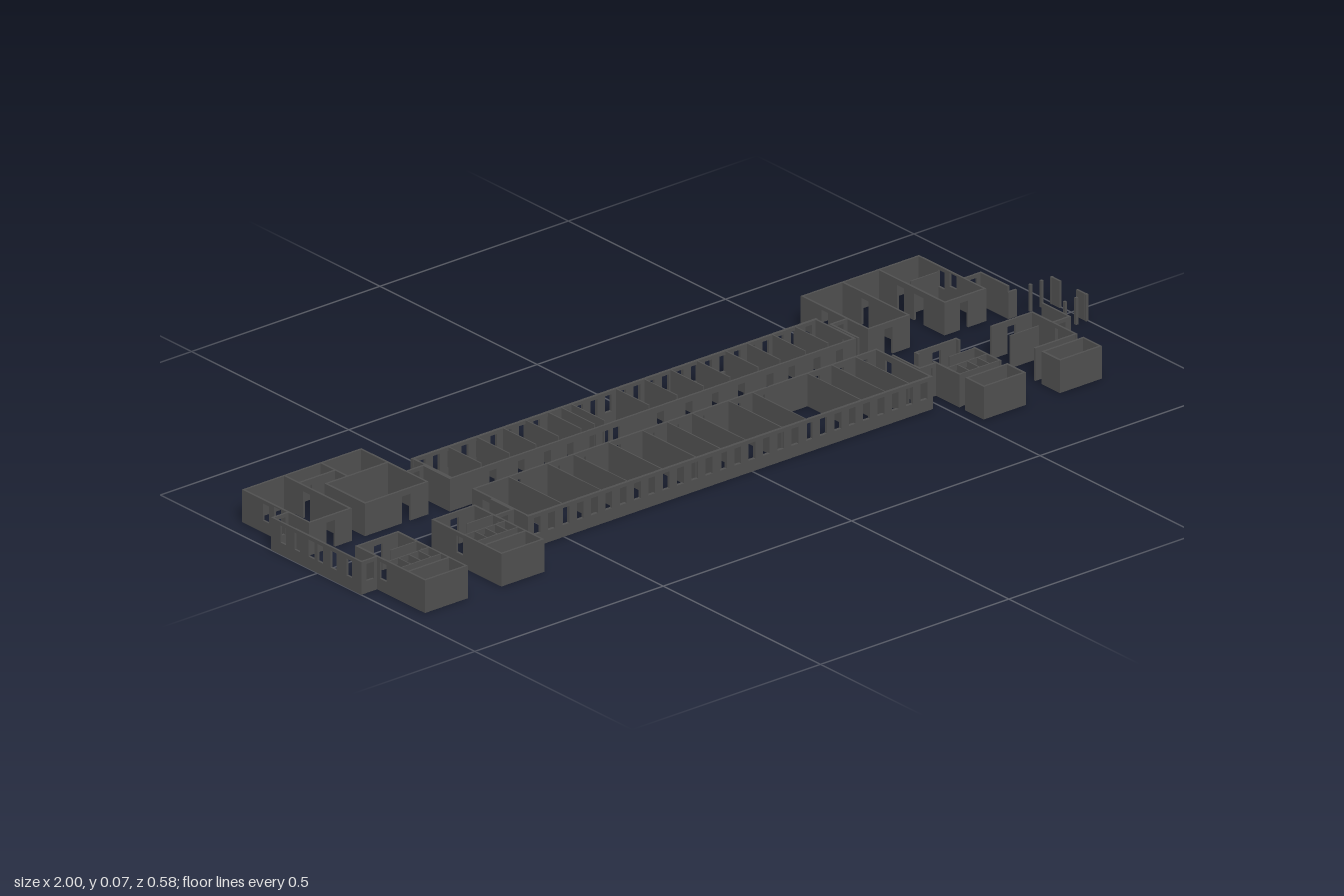
import * as THREE from 'three';
import { mergeGeometries } from 'three/addons/utils/BufferGeometryUtils.js';

const H = 0.073;
const THICK = 0.007, MID = 0.005, THIN = 0.003;
const material = new THREE.MeshStandardMaterial({ color: 0x505050 });

// Openings are [centre coordinate, width, bottom, top]
const win = (c, w = 0.02) => [c, w, 0.027, 0.065];
const door = (c, w = 0.022) => [c, w, 0, 0.06];
const gap = (c, w) => [c, w, 0, H];

// Straight wall along x or z, split around its openings
function wall(group, name, x1, z1, x2, z2, t = MID, openings = [], h = H) {
  const alongX = Math.abs(x2 - x1) > Math.abs(z2 - z1);
  const a = alongX ? Math.min(x1, x2) : Math.min(z1, z2);
  const b = alongX ? Math.max(x1, x2) : Math.max(z1, z2);
  const parts = [];
  const block = (s, e, y0, y1) => {
    if (e - s < 1e-5 || y1 - y0 < 1e-5) return;
    const g = alongX ? new THREE.BoxGeometry(e - s, y1 - y0, t) : new THREE.BoxGeometry(t, y1 - y0, e - s);
    const m = (s + e) / 2, y = (y0 + y1) / 2;
    parts.push(alongX ? g.translate(m, y, z1) : g.translate(x1, y, m));
  };
  let at = a - t / 2;
  for (const [c, w, y0, y1] of [...openings].sort((p, q) => p[0] - q[0])) {
    block(at, c - w / 2, 0, h);
    block(c - w / 2, c + w / 2, 0, y0);
    block(c - w / 2, c + w / 2, y1, h);
    at = c + w / 2;
  }
  block(at, b + t / 2, 0, h);
  const mesh = new THREE.Mesh(mergeGeometries(parts), material);
  mesh.name = name;
  group.add(mesh);
}

function section(parent, name) {
  const g = new THREE.Group();
  g.name = name;
  parent.add(g);
  return g;
}

// Long middle block with two rows of rooms and a corridor
function mainBlock(root) {
  const g = section(root, 'mainBlock');
  const x0 = -0.592, x1 = 0.476;
  const windows = [];
  for (let i = 0; i < 28; i++) windows.push(win(x0 + 0.021 + i * 0.038, 0.018));
  const backRooms = [-0.5, -0.425, -0.355, -0.295, -0.235, -0.2, -0.173, -0.055, 0.02, 0.09, 0.16, 0.235, 0.293, 0.36, 0.42];
  const frontRooms = [-0.5, -0.397, -0.328, -0.235, -0.145, -0.08, -0.013, 0.083, 0.147, 0.293, 0.357, 0.42];
  wall(g, 'backOuterWall', x0, -0.185, x1, -0.185, THICK, windows);
  wall(g, 'frontOuterWall', x0, 0.181, x1, 0.181, THICK, windows);
  wall(g, 'backCorridorWall', x0, -0.062, x1, -0.062, MID, backRooms.map(x => door(x + 0.015, 0.018)));
  wall(g, 'frontCorridorWall', x0, 0.008, x1, 0.008, MID, frontRooms.map(x => door(x + 0.02)));
  for (const x of backRooms) wall(g, 'backPartition', x, -0.185, x, -0.08, THIN);
  for (const x of frontRooms) wall(g, 'frontPartition', x, 0.008, x, 0.178, THIN);
  for (const x of [x0, x1]) {
    wall(g, 'backEndWall', x, -0.185, x, -0.062, MID, [door(-0.085)]);
    wall(g, 'frontEndWall', x, 0.008, x, 0.181, MID, [door(0.05)]);
  }
}

// Small front room with stalls; sideGaps open the side walls
function frontRoom(g, xa, xb, sideGaps) {
  wall(g, 'frontWall', xa, 0.288, xb, 0.288);
  for (const x of [xa, xb]) wall(g, 'sideWall', x, 0.071, x, 0.288, MID, sideGaps);
  wall(g, 'hallWall', xa, 0.071, xb, 0.071, MID, [door((xa + xb) / 2)]);
  wall(g, 'lobbyWall', xa + 0.04, 0.131, xb, 0.131, THIN);
  wall(g, 'stallFront', xa, 0.17, xb, 0.17, THIN, [0.2, 0.5, 0.8].map(f => door(xa + f * (xb - xa), 0.015)));
  for (const f of [0.25, 0.5, 0.75]) {
    const x = xa + f * (xb - xa);
    wall(g, 'stallDivider', x, 0.17, x, 0.21, THIN);
  }
  wall(g, 'stallBack', xa, 0.21, xb, 0.21, THIN);
  wall(g, 'storeWall', xa, 0.234, xb, 0.234);
}

// Back room outline shared by both wings
function backRooms(g, xa, xb, outerX) {
  wall(g, 'backWall', xa, -0.289, xb, -0.289);
  for (const x of [xa, xb]) {
    wall(g, 'sideWall', x, -0.289, x, -0.08, MID,
      x === outerX ? [win(-0.215), [-0.178, 0.022, 0.04, 0.07]] : [win(-0.215)]);
  }
}

// Short walls joining a wing to its neighbours
function links(g, xa, xb) {
  for (const z of [-0.146, 0.136]) wall(g, 'linkWall', xa, z, xb, z, MID, [win((xa + xb) / 2)]);
}

function rightWing(root) {
  const g = section(root, 'rightWing');
  backRooms(g, -0.955, -0.643, -0.955);
  wall(g, 'partition', -0.847, -0.289, -0.847, -0.08, MID, [door(-0.215)]);
  wall(g, 'closetWall', -0.847, -0.243, -0.75, -0.243, MID, [door(-0.825)]);
  wall(g, 'closetSide', -0.75, -0.289, -0.75, -0.204, MID, [door(-0.218)]);
  wall(g, 'innerWall', -0.807, -0.204, -0.643, -0.204);
  wall(g, 'innerSide', -0.807, -0.204, -0.807, -0.08);
  wall(g, 'hallWall', -0.955, -0.08, -0.847, -0.08, MID, [door(-0.9)]);
  wall(g, 'hallWall', -0.807, -0.08, -0.643, -0.08, MID, [door(-0.7)]);
  frontRoom(g, -0.955, -0.846, [win(0.158, 0.022)]);
  frontRoom(g, -0.752, -0.643, [win(0.158, 0.022)]);
  links(g, -0.997, -0.955);
  links(g, -0.643, -0.597);
  wall(g, 'endWall', -0.997, -0.146, -0.997, 0.136, MID,
    [-0.11, -0.065, -0.02, 0.008, 0.05, 0.1].map(z => win(z, 0.018)));
  for (const [a, b] of [[-0.146, -0.062], [0.071, 0.136]]) {
    wall(g, 'joinWall', -0.597, a, -0.597, b, MID);
  }
}

function leftWing(root) {
  const g = section(root, 'leftWing');
  backRooms(g, 0.528, 0.837, 0.837);
  wall(g, 'partition', 0.635, -0.289, 0.635, -0.08, MID, [door(-0.215)]);
  wall(g, 'closetSide', 0.731, -0.289, 0.731, -0.08, MID, [door(-0.218), door(-0.16, 0.03)]);
  wall(g, 'closetWall', 0.745, -0.204, 0.815, -0.204, THIN);
  wall(g, 'hallWall', 0.528, -0.08, 0.635, -0.08, MID, [door(0.58)]);
  wall(g, 'hallWall', 0.731, -0.08, 0.837, -0.08, MID, [door(0.78)]);
  frontRoom(g, 0.528, 0.635, [gap(0.105, 0.045), gap(0.222, 0.018)]);
  // Plain front room, open on its inner side
  wall(g, 'frontWall', 0.73, 0.288, 0.837, 0.288);
  wall(g, 'sideWall', 0.73, 0.234, 0.73, 0.288);
  wall(g, 'sideWall', 0.837, 0.071, 0.837, 0.288, MID, [win(0.158, 0.022), gap(0.222, 0.018)]);
  wall(g, 'hallWall', 0.73, 0.071, 0.837, 0.071, MID, [door(0.78)]);
  wall(g, 'lobbyWall', 0.73, 0.131, 0.803, 0.131, THIN);
  for (const z of [0.21, 0.234]) wall(g, 'storeWall', 0.73, z, 0.837, z);
  links(g, 0.484, 0.528);
  links(g, 0.837, 0.882);
  for (const x of [0.484, 0.882]) {
    wall(g, 'joinWall', x, -0.146, x, -0.06);
    wall(g, 'joinWall', x, 0.052, x, 0.136);
  }
}

// Posts of the open porch at the end
function porch(root) {
  const g = section(root, 'porch');
  for (const z of [-0.058, 0.052]) {
    wall(g, 'porchPier', 0.882, z, 0.9, z, MID, [], 0.06);
    for (const x of [0.94, 0.97, 0.997]) {
      const post = new THREE.Mesh(new THREE.BoxGeometry(0.006, 0.06, 0.006), material);
      post.position.set(x, 0.03, z);
      post.name = 'porchPost';
      g.add(post);
    }
  }
  for (const [a, b] of [[-0.055, -0.033], [0.025, 0.045]]) wall(g, 'porchScreen', 0.997, a, 0.997, b, MID, [], 0.06);
}

export function createModel() {
  const root = new THREE.Group();
  root.name = 'buildingWalls';
  mainBlock(root);
  rightWing(root);
  leftWing(root);
  porch(root);
  return root;
}
